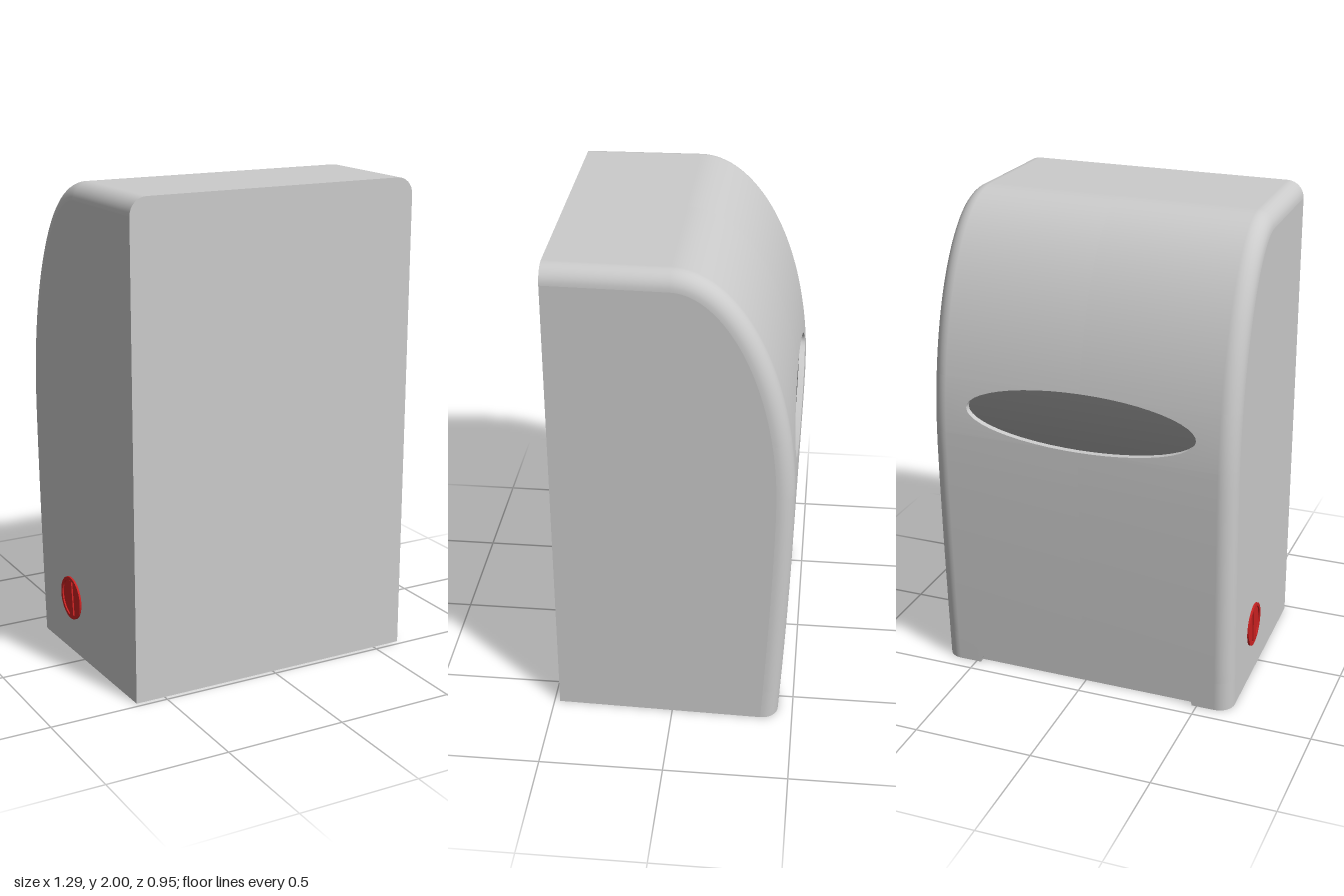
import * as THREE from 'three';

const BACK = 0.477, DEPTH = 0.025, EDGE = 0.07;
const NOTCH = { y: 0, a: 0.48, b: 0.13 };      // half ellipse at the bottom edge
const WINDOW = { y: 1.2, a: 0.485, b: 0.12 };  // viewing window
const MID = 1.03, TOP = 2;

const halfWidth = z => 0.624 + 0.0235 * (BACK - z);
const frontZ = y => y < MID
  ? -0.477 + 0.038 * Math.pow((MID - y) / MID, 1.5)
  : -0.477 * Math.sqrt(Math.max(0, 1 - ((y - MID) / (TOP - MID)) ** 2));
const openingHalf = (o, y) => o.a * Math.sqrt(Math.max(0, 1 - ((y - o.y) / o.b) ** 2));

// Smooth surface through rows of [x, y, z] points
function sheet(rows) {
  const n = rows[0].length, index = [];
  for (let i = 0; i < rows.length - 1; i++)
    for (let j = 0; j < n - 1; j++) {
      const a = i * n + j, c = a + n;
      index.push(a, a + 1, c, a + 1, c + 1, c);
    }
  const g = new THREE.BufferGeometry();
  g.setAttribute('position', new THREE.Float32BufferAttribute(rows.flat(2), 3));
  g.setIndex(index);
  g.computeVertexNormals();
  return g;
}

// Side profile: bottom front edge, up over the curved cover, along the top to the back
function makeProfile() {
  const p = [], add = (y, z = frontZ(y)) => p.push({ y, z });
  for (let i = 0; i <= 14; i++) add(NOTCH.b * Math.sin(i / 14 * Math.PI / 2));
  const lo = WINDOW.y - WINDOW.b, hi = WINDOW.y + WINDOW.b;
  for (let i = 1; i < 12; i++) add(NOTCH.b + (lo - NOTCH.b) * i / 12);
  for (let i = 0; i <= 24; i++) add(WINDOW.y - WINDOW.b * Math.cos(i / 24 * Math.PI));
  const a0 = Math.asin((hi - MID) / (TOP - MID));
  for (let i = 1; i <= 28; i++) {
    const a = a0 + (Math.PI / 2 - a0) * i / 28;
    add(MID + (TOP - MID) * Math.sin(a), -0.477 * Math.cos(a));
  }
  for (let i = 1; i <= 6; i++) add(TOP, BACK * i / 6);
  // Inward direction at every point; ends stay in the bottom and back planes
  p.forEach((q, i) => {
    const s = p[Math.max(0, i - 1)], t = p[Math.min(p.length - 1, i + 1)];
    const dy = t.y - s.y, dz = t.z - s.z, l = Math.hypot(dy, dz);
    q.ny = i === 0 ? 0 : -dz / l;
    q.nz = dy / l;
  });
  return p;
}

export function createModel() {
  const model = new THREE.Group();
  const grey = new THREE.MeshStandardMaterial({ color: 0xcccccc, side: THREE.DoubleSide });
  const dark = new THREE.MeshStandardMaterial({ color: 0x707070, side: THREE.DoubleSide });
  const red = new THREE.MeshStandardMaterial({ color: 0xcc2222 });
  const add = (name, geometry, material = grey, parent = model) => {
    const m = new THREE.Mesh(geometry, material);
    m.name = name;
    parent.add(m);
    return m;
  };
  const mirror = row => row.map(([x, y, z]) => [-x, y, z]).reverse();
  const profile = makeProfile();

  // Cover: rounded along both edges, split where the openings are
  const half = profile.map(q => {
    const row = [];
    for (let k = 0; k <= 8; k++) {
      const t = k / 8 * Math.PI / 2, d = EDGE * (1 - Math.sin(t));
      const y = q.y + q.ny * d, z = q.z + q.nz * d;
      row.push([halfWidth(z) - EDGE * (1 - Math.cos(t)), y, z]);
    }
    const e = q.z < 0 ? openingHalf(NOTCH, q.y) + openingHalf(WINDOW, q.y) : 0;
    row.push([e, q.y, q.z]);
    return row;
  });
  add('coverLeft', sheet(half));
  add('coverRight', sheet(half.map(mirror)));

  // Flat sides
  const side = half.map(r => [[halfWidth(BACK), r[0][1], BACK], r[0]]);
  add('sideLeft', sheet(side));
  add('sideRight', sheet(side.map(mirror)));

  // Back wall
  const last = half[half.length - 1];
  const backTop = [...last, ...mirror(last)].reverse();
  add('backWall', sheet([backTop.map(([x]) => [x, 0, BACK]), backTop]));

  // Recessed floor and rim of each opening
  const recess = (name, o, material) => {
    const rows = profile.filter(q => q.z < 0 && Math.abs(q.y - o.y) <= o.b + 1e-6);
    const rim = rows.map(q => {
      const e = openingHalf(o, q.y);
      return [[e, q.y, q.z], [e, q.y, q.z + DEPTH]];
    });
    add(name + 'RimLeft', sheet(rim));
    add(name + 'RimRight', sheet(rim.map(mirror)));
    add(name + 'Floor', sheet(rim.map(([, [e, y, z]]) => [[e, y, z], [-e, y, z]])), material);
  };
  recess('window', WINDOW, dark);
  recess('notch', NOTCH, grey);

  // Underside, following the notch
  const z0 = profile[0].z + DEPTH;
  const front = [...half[0], [NOTCH.a, 0, z0], [-NOTCH.a, 0, z0], ...mirror(half[0])];
  const rear = front.map(([x, , z]) => [x * halfWidth(BACK) / halfWidth(z), 0, BACK]);
  add('underside', sheet([rear, front]));

  // Slotted lock on the right side
  const lock = new THREE.Group();
  lock.name = 'lock';
  const ring = new THREE.Shape().absarc(0, 0, 0.092, 0, Math.PI * 2);
  ring.holes.push(new THREE.Path().absarc(0, 0, 0.078, 0, Math.PI * 2, true));
  add('lockRing', new THREE.ExtrudeGeometry(ring, { depth: 0.008, bevelEnabled: false, curveSegments: 24 }), red, lock);
  add('lockDisc', new THREE.CircleGeometry(0.08, 40), red, lock).position.z = 0.002;
  const grip = add('lockGrip', new THREE.BoxGeometry(0.035, 0.155, 0.008), red, lock);
  grip.position.z = 0.004;
  grip.rotation.z = 0.1;
  lock.position.set(-halfWidth(-0.11), 0.24, -0.11);
  lock.rotation.y = -Math.PI / 2 + 0.0235;
  model.add(lock);

  return model;
}
